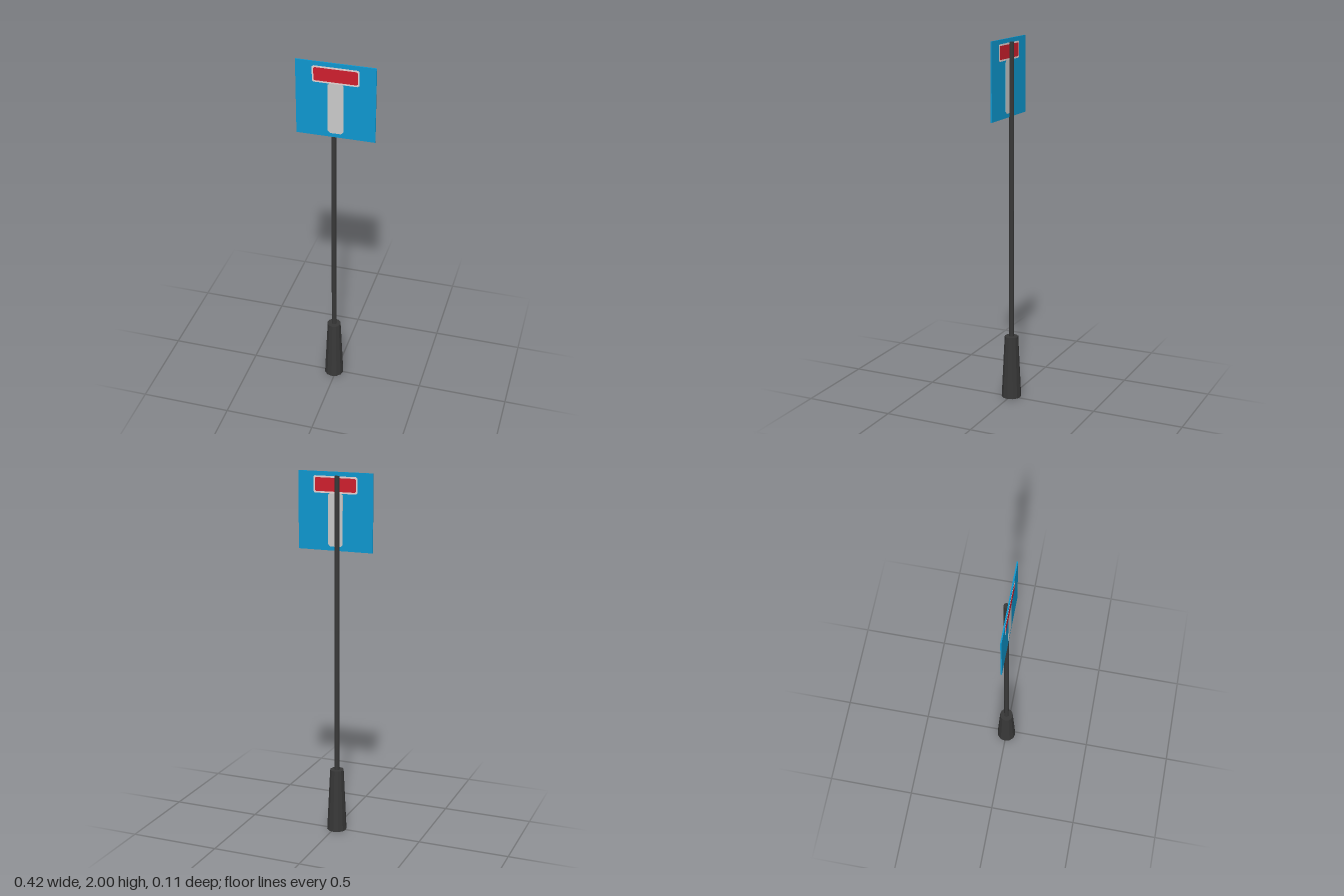
import * as THREE from 'three';

const material = (name, color) => {
  const m = new THREE.MeshStandardMaterial({ color, flatShading: true });
  m.name = name;
  return m;
};

// Rectangle outline with chamfered corners
function chamferedRect(w, h, c) {
  const x = w / 2, y = h / 2;
  return new THREE.Shape([
    [-x + c, -y], [x - c, -y], [x, -y + c], [x, y - c],
    [x - c, y], [-x + c, y], [-x, y - c], [-x, -y + c],
  ].map(([a, b]) => new THREE.Vector2(a, b)));
}

export function createModel() {
  const group = new THREE.Group();
  const dark = material('dark grey', 0x383838);
  const blue = material('sign blue', 0x0e98d0);
  const red = material('sign red', 0xcf1f2e);
  const grey = material('light grey', 0xcacaca);
  const white = material('border white', 0xe8d6d6);
  const poleX = -0.013, plateZ = 0.0112;

  const add = (name, geometry, mat, x, y, z) => {
    const mesh = new THREE.Mesh(geometry, mat);
    mesh.name = name;
    mesh.position.set(x, y, z);
    group.add(mesh);
  };

  // Tapered foot and pole
  add('foot', new THREE.CylinderGeometry(0.038, 0.055, 0.355, 12), dark, poleX, 0.1775, 0);
  add('pole', new THREE.CylinderGeometry(0.0135, 0.0135, 1.63, 12), dark, poleX, 1.165, 0);

  // Sign plate
  add('signPlate', new THREE.BoxGeometry(0.42, 0.416, 0.0066), blue, 0, 1.792, plateZ);

  // Painted symbol, running through the plate so it shows on both faces
  const paint = (name, w, h, chamfer, y, depth, mat) => {
    const geometry = new THREE.ExtrudeGeometry(chamferedRect(w, h, chamfer), { depth, bevelEnabled: false });
    add(name, geometry, mat, 0, y, plateZ - depth / 2);
  };
  paint('symbolStem', 0.084, 0.285, 0.013, 1.748, 0.0076, grey);
  paint('barBorder', 0.246, 0.09, 0.007, 1.932, 0.0082, white);
  paint('symbolBar', 0.23, 0.072, 0.005, 1.932, 0.0092, red);

  return group;
}
